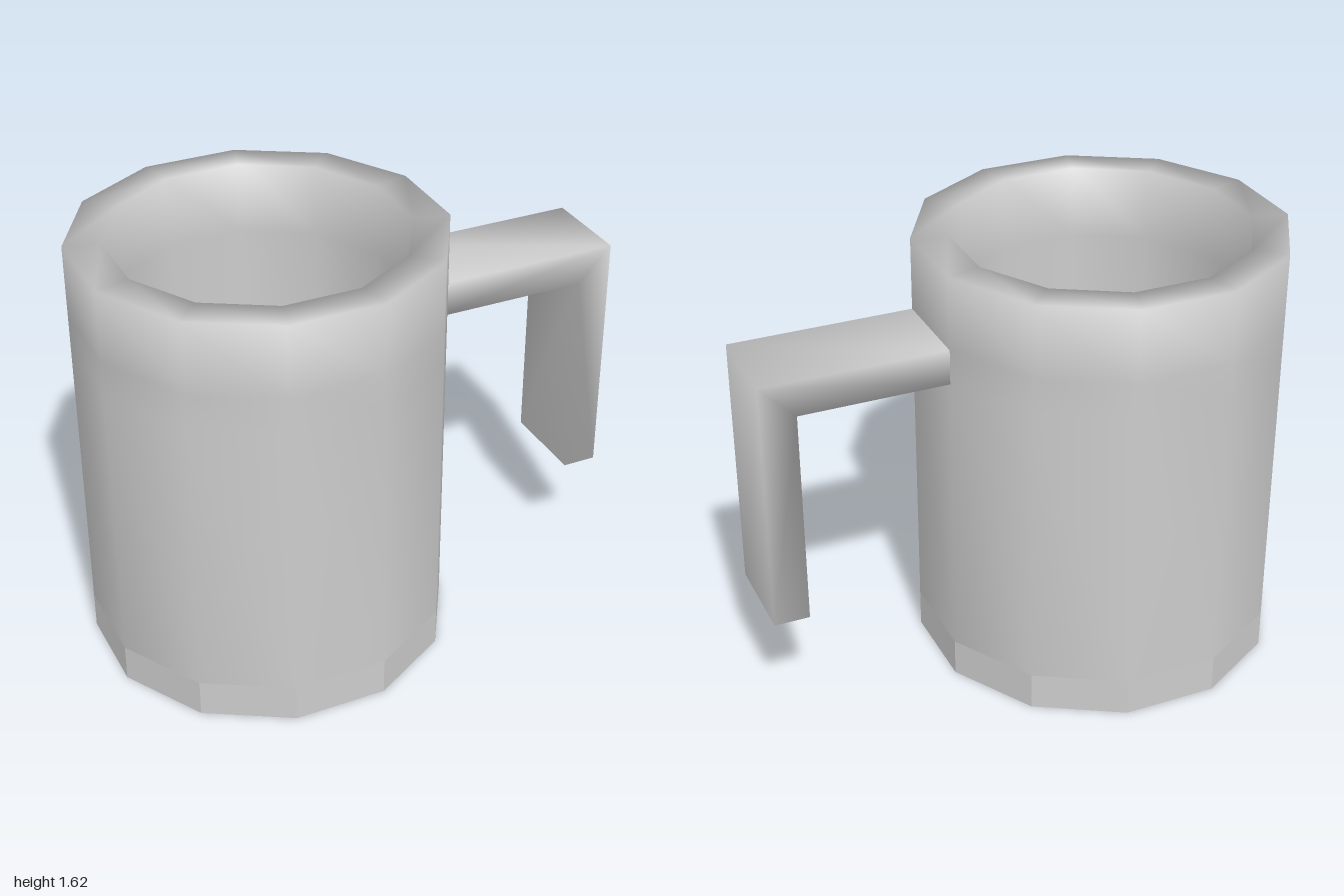
import * as THREE from 'three';
import { mergeVertices } from 'three/addons/utils/BufferGeometryUtils.js';

const SIDES = 12, OUTER = 0.672, INNER = 0.54, HEIGHT = 1.62;
const BAND = 0.14, ARM_LOW = 1.22, ARM_TOP = 1.35;

const lathe = (profile) =>
  new THREE.LatheGeometry(profile.map(([r, y]) => new THREE.Vector2(r, y)), SIDES);

// Drop the seams so that all faces share smooth normals
function smooth(geometry) {
  geometry.deleteAttribute('uv');
  geometry.deleteAttribute('normal');
  const merged = mergeVertices(geometry, 1e-4);
  merged.computeVertexNormals();
  return merged;
}

function flat(geometry) {
  const faceted = geometry.toNonIndexed();
  faceted.computeVertexNormals();
  return faceted;
}

export function createModel() {
  const model = new THREE.Group();
  model.name = 'mug';
  const ceramic = new THREE.MeshStandardMaterial({ color: 0xcccccc });
  ceramic.name = 'pale grey ceramic';

  const add = (name, geometry) => {
    const mesh = new THREE.Mesh(geometry, ceramic);
    mesh.name = name;
    mesh.position.x = OUTER - 1;
    model.add(mesh);
    return mesh;
  };

  // Smooth outer wall, rim and inner wall
  add('body', smooth(lathe([
    [OUTER, BAND], [OUTER, ARM_LOW], [OUTER, ARM_TOP], [OUTER, HEIGHT],
    [INNER, HEIGHT], [INNER, ARM_TOP], [INNER, BAND],
  ])));

  // Flat floor inside
  add('innerFloor', flat(lathe([[INNER, BAND], [0, BAND]])));

  // Faceted foot band with a shallow recess underneath
  add('foot', flat(lathe([
    [0, 0.07], [INNER, 0.07], [INNER, 0], [OUTER, 0], [OUTER, BAND],
  ])));

  // Open L-shaped handle, as wide as one side of the body
  const width = 2 * OUTER * Math.sin(Math.PI / SIDES);
  const start = 0.6, end = 1.326, thick = ARM_TOP - ARM_LOW, tip = 0.41;
  const outline = new THREE.Shape([
    [start, ARM_LOW], [end - thick, ARM_LOW], [end - thick, tip],
    [end, tip], [end, ARM_TOP], [start, ARM_TOP],
  ].map(([x, y]) => new THREE.Vector2(x, y)));
  const handle = new THREE.ExtrudeGeometry(outline, { depth: width, bevelEnabled: false });
  handle.translate(0, 0, -width / 2);
  add('handle', smooth(handle)).rotation.y = Math.PI / SIDES;

  return model;
}
